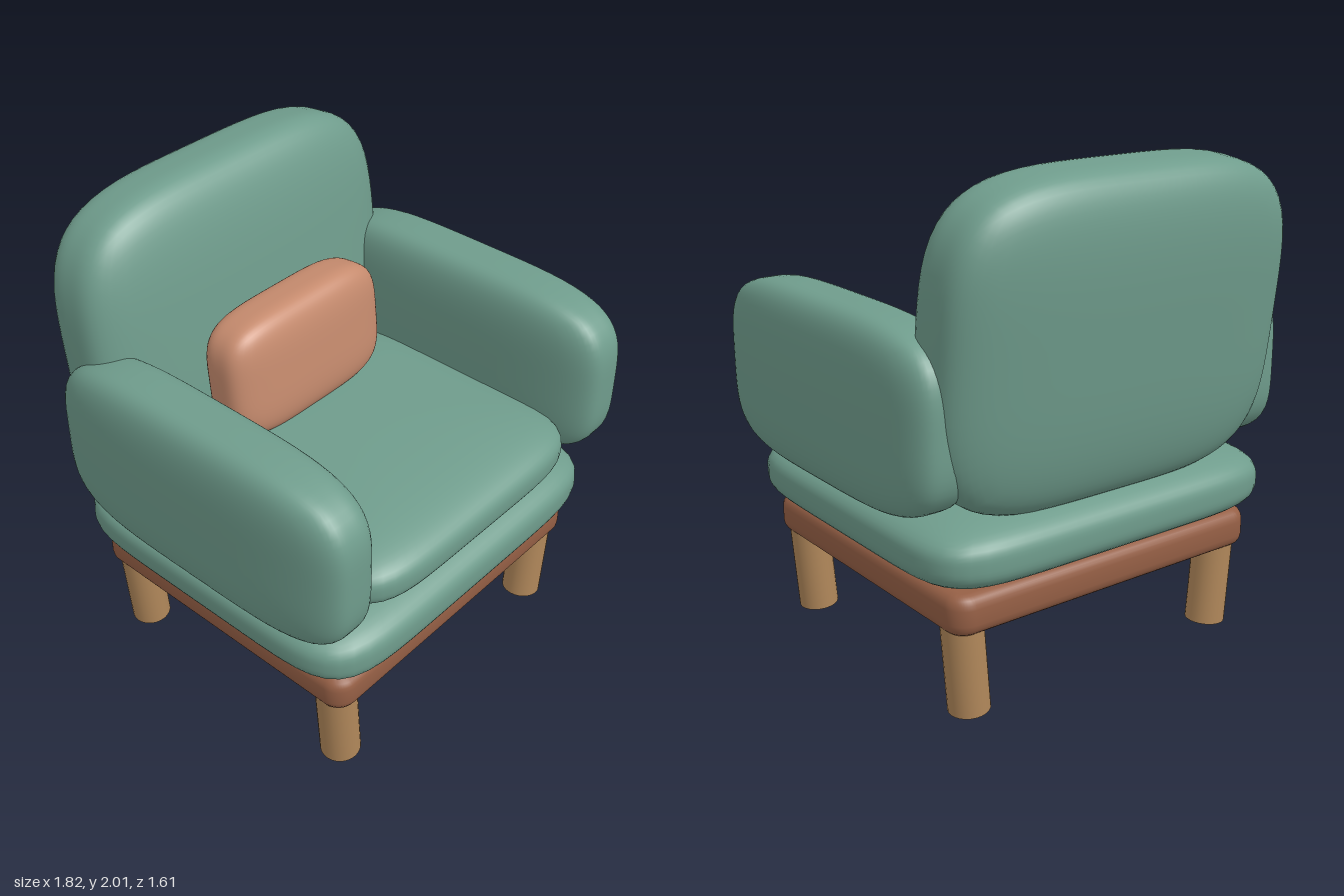
import * as THREE from 'three';
import { mergeVertices, toCreasedNormals } from 'three/addons/utils/BufferGeometryUtils.js';

const mat = (color) => new THREE.MeshStandardMaterial({ color });

// Soft cushion: a subdivided cube pulled onto a superellipsoid.
// half = [x, y, z] half sizes, thin = axis index of its thickness,
// a = squareness of the outline, b = squareness of the edge section.
function cushionGeometry(half, thin, a, b) {
  const box = new THREE.BoxGeometry(2, 2, 2, 20, 20, 20);
  box.deleteAttribute('normal');
  box.deleteAttribute('uv');
  const geo = mergeVertices(box, 1e-4);
  const pos = geo.attributes.position;
  const [u, v] = [0, 1, 2].filter((i) => i !== thin);
  for (let i = 0; i < pos.count; i++) {
    const p = [pos.getX(i), pos.getY(i), pos.getZ(i)];
    const m = p.map(Math.abs);
    const outline = (m[u] ** a + m[v] ** a) ** (1 / a);
    const r = (outline ** b + m[thin] ** b) ** (1 / b);
    pos.setXYZ(i, ...p.map((c, k) => (c / r) * half[k]));
  }
  geo.computeVertexNormals();
  return geo;
}

export function createModel() {
  const group = new THREE.Group();
  const fabric = mat(0x6f9c8c);
  const accent = mat(0xc68b6e);
  const darkWood = mat(0x955f45);
  const lightWood = mat(0xb0875a);

  const add = (name, geometry, material, x, y, z, rx = 0, rz = 0) => {
    const mesh = new THREE.Mesh(geometry, material);
    mesh.name = name;
    mesh.position.set(x, y, z);
    mesh.rotation.set(rx, 0, rz);
    group.add(mesh);
  };

  // Upholstery
  add('baseCushion', cushionGeometry([0.825, 0.16, 0.75], 1, 7, 3.2), fabric, 0, 0.64, 0.03);
  add('seatCushion', cushionGeometry([0.66, 0.14, 0.62], 1, 6, 3), fabric, 0, 0.91, 0.165);
  add('backrest', cushionGeometry([0.79, 0.635, 0.215], 2, 4, 3.6), fabric, 0, 1.37, -0.56, -0.12);
  add('pillow', cushionGeometry([0.42, 0.26, 0.135], 2, 4.2, 3.6), accent, 0, 1.27, -0.2, -0.1);

  const armGeo = cushionGeometry([0.157, 0.365, 0.72], 0, 4, 3.8);
  add('leftArm', armGeo, fabric, 0.752, 1.125, 0.08);
  add('rightArm', armGeo, fabric, -0.752, 1.125, 0.08);

  // Wooden frame: rounded slab with bevelled edges
  const w = 0.69, d = 0.625, r = 0.04;
  const plan = new THREE.Shape();
  plan.absarc(w - r, d - r, r, 0, Math.PI / 2);
  plan.absarc(-w + r, d - r, r, Math.PI / 2, Math.PI);
  plan.absarc(-w + r, -d + r, r, Math.PI, Math.PI * 1.5);
  plan.absarc(w - r, -d + r, r, Math.PI * 1.5, Math.PI * 2);
  plan.closePath();
  const frameGeo = new THREE.ExtrudeGeometry(plan, {
    depth: 0.06, bevelSize: 0.045, bevelThickness: 0.05, bevelSegments: 4, curveSegments: 6,
  });
  frameGeo.rotateX(-Math.PI / 2);
  add('frame', toCreasedNormals(frameGeo, 0.6), darkWood, 0, 0.4, 0.03);

  // Legs, feet leaning slightly inwards
  const legGeo = new THREE.CylinderGeometry(0.082, 0.082, 0.41, 24);
  for (const side of [1, -1]) {
    for (const [name, z] of [['Front', 0.592], ['Back', -0.527]]) {
      add((side > 0 ? 'left' : 'right') + name + 'Leg', legGeo, lightWood, side * 0.626, 0.211, z, 0, -side * 0.08);
    }
  }
  return group;
}
